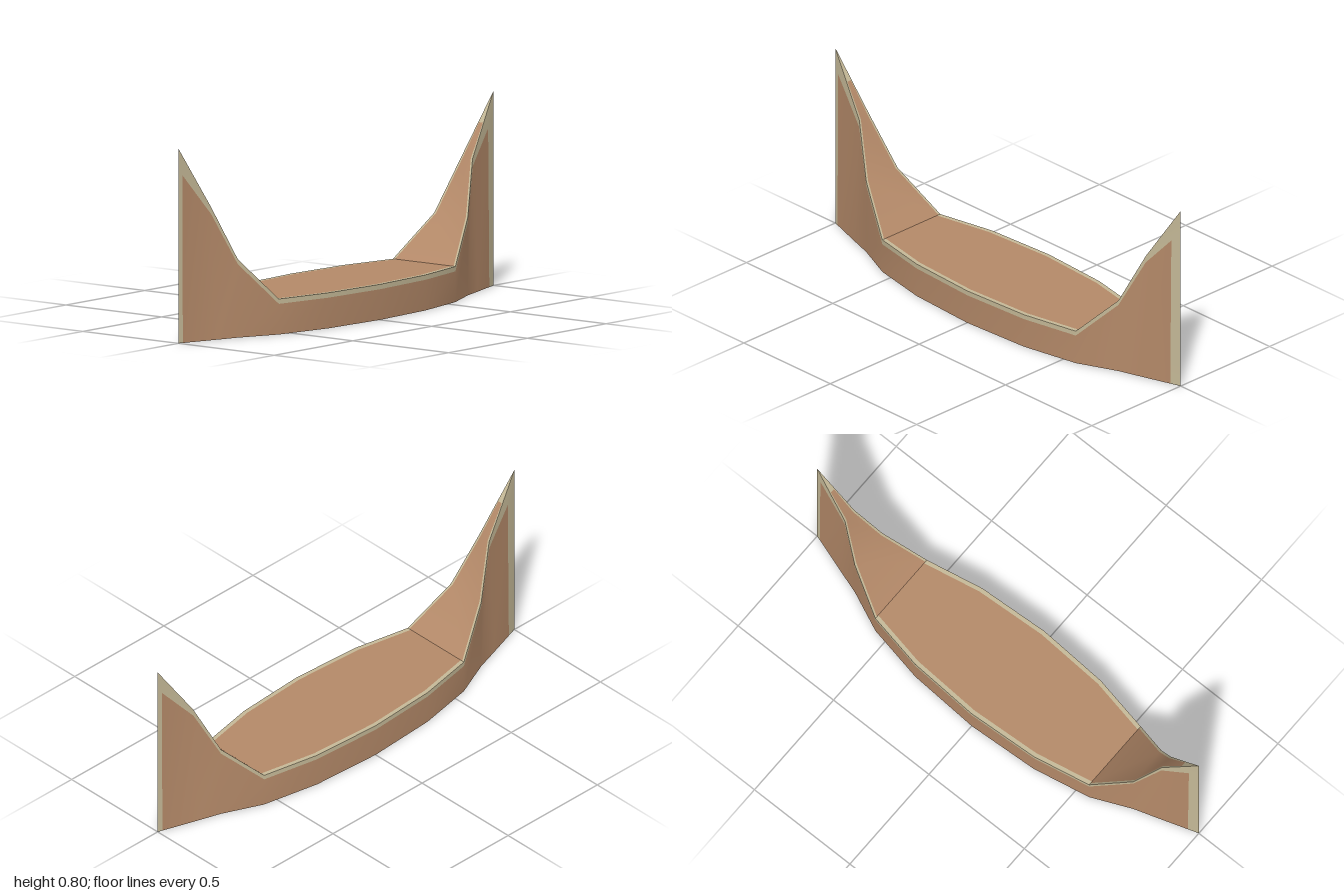
import * as THREE from 'three';

// Stations along half the hull: x, rim height, half width at the base, half width at the rim
const STATIONS = [
  [0, 0.145, 0.23, 0.23],
  [0.31, 0.145, 0.212, 0.212],
  [0.56, 0.145, 0.163, 0.163],
  [0.73, 0.32, 0.088, 0.088],
  [0.83, 0.54, 0.056, 0.03],
  [1, 0.795, 0, 0],
];

// Interpolated hull section at any x
function section(x) {
  const a = Math.abs(x);
  let i = 1;
  while (i < STATIONS.length - 1 && a > STATIONS[i][0]) i++;
  const p = STATIONS[i - 1], q = STATIONS[i];
  const t = (a - p[0]) / (q[0] - p[0]);
  const mix = (k) => p[k] + (q[k] - p[k]) * t;
  return { rim: mix(1), base: mix(2), top: mix(3) };
}

// Smooth surface through rows of points; pick(i, j) gives the material of each cell
function grid(rows, pick) {
  const n = rows[0].length;
  const cells = [[], []];
  for (let i = 0; i < rows.length - 1; i++) {
    for (let j = 0; j < n - 1; j++) {
      const a = i * n + j, b = a + n;
      cells[pick(i, j)].push(a, b, b + 1, a, b + 1, a + 1);
    }
  }
  const g = new THREE.BufferGeometry();
  g.setAttribute('position', new THREE.Float32BufferAttribute(rows.flat(2), 3));
  g.setIndex([...cells[0], ...cells[1]]);
  g.addGroup(0, cells[0].length, 0);
  g.addGroup(cells[0].length, cells[1].length, 1);
  g.computeVertexNormals();
  return g;
}

export function createModel() {
  const wood = new THREE.MeshStandardMaterial({ color: 0xb58a69 });
  wood.name = 'wood';
  const trim = new THREE.MeshStandardMaterial({ color: 0xc6ba98 });
  trim.name = 'paleTrim';
  const model = new THREE.Group();
  model.name = 'boat';

  const add = (name, geometry, turn = 0) => {
    const mesh = new THREE.Mesh(geometry, [wood, trim]);
    mesh.name = name;
    mesh.rotation.y = turn;
    model.add(mesh);
  };

  // Side walls with a pale rim and pale end posts; the second is the first turned around
  const wallX = [-1, -0.98, -0.83, -0.73, -0.56, -0.31, 0, 0.31, 0.56, 0.73, 0.83, 0.955, 1];
  const wallRows = wallX.map((x) => {
    const s = section(x), a = Math.abs(x);
    const drop = a > 0.9 ? 0.08 : a > 0.8 ? 0.03 : 0.02;
    return [0, s.rim - drop, s.rim].map((y) => [x, y, s.base + (s.top - s.base) * y / s.rim]);
  });
  const wall = grid(wallRows, (i, j) => (j === 1 || i === 0 || i === wallX.length - 2 ? 1 : 0));
  add('frontWall', wall);
  add('backWall', wall, Math.PI);

  // Top surfaces with pale edges
  const topRow = (inset) => (x) => {
    const s = section(x), w = s.top, k = w - Math.min(inset, w * 0.3);
    return [w, k, -k, -w].map((z) => [x, s.rim, z]);
  };
  const deckX = [-0.56, -0.31, 0, 0.31, 0.56];
  add('deck', grid(deckX.map(topRow(0.018)), (i, j) => (j === 1 ? 0 : 1)));

  // Rising ends, pale at the tips
  const rampX = [0.56, 0.73, 0.83, 0.92, 1];
  const ramp = grid(rampX.map(topRow(0.01)), (i, j) => (j === 1 && i < 3 ? 0 : 1));
  add('leftRisingEnd', ramp);
  add('rightRisingEnd', ramp, Math.PI);

  // Flat underside
  const keelX = [-1, -0.73, -0.56, -0.31, 0, 0.31, 0.56, 0.73, 1];
  const keelRows = keelX.map((x) => [-1, 1].map((k) => [x, 0, k * section(x).base]));
  add('underside', grid(keelRows, () => 0));

  return model;
}
